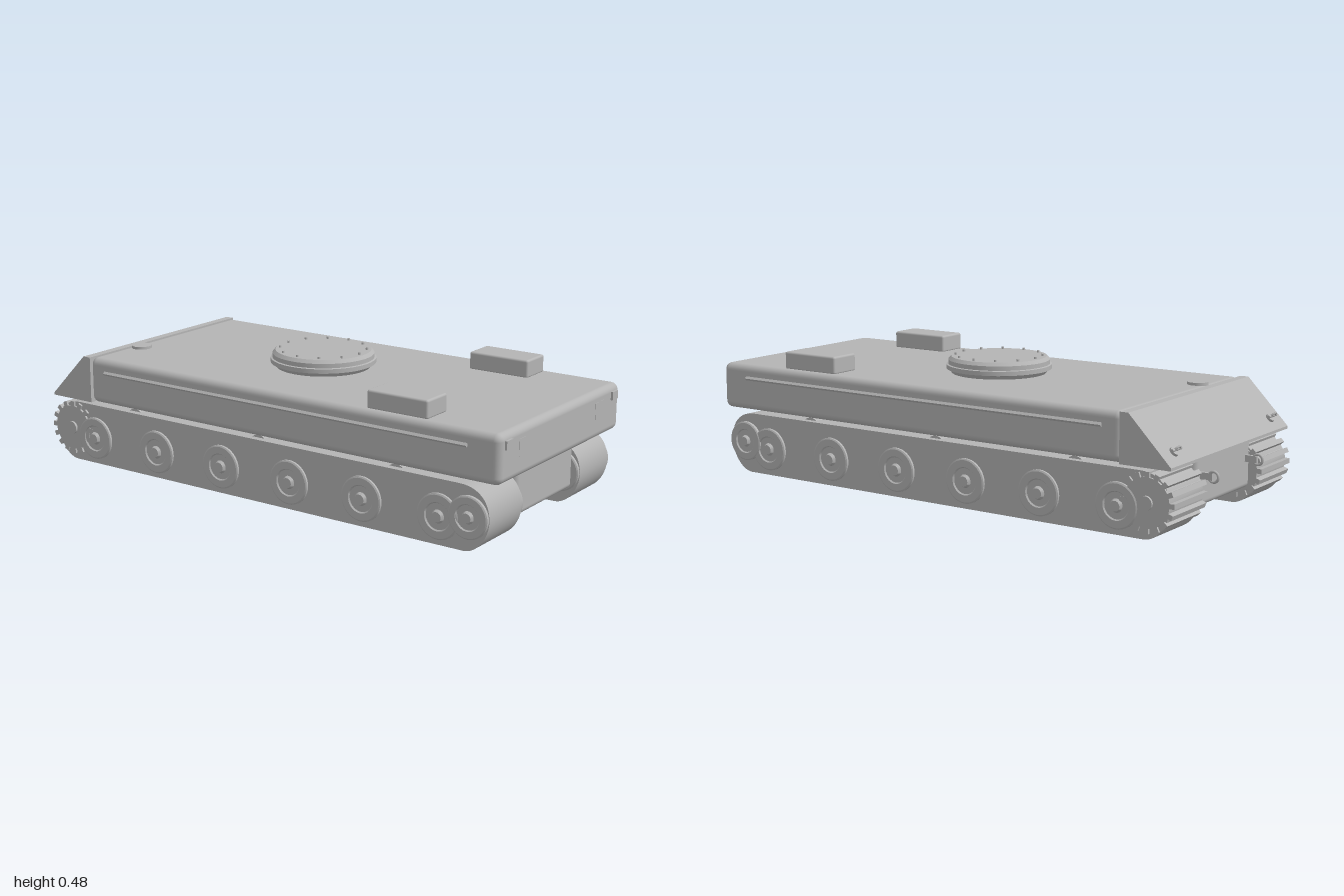
import * as THREE from 'three';
import { RoundedBoxGeometry } from 'three/addons/geometries/RoundedBoxGeometry.js';
import { toCreasedNormals } from 'three/addons/utils/BufferGeometryUtils.js';

export function createModel() {
  const model = new THREE.Group();
  const grey = new THREE.MeshStandardMaterial({ color: 0xb4b4b4 });
  grey.name = 'plain grey';

  const add = (name, geometry, x, y, z, parent = model) => {
    const mesh = new THREE.Mesh(geometry, grey);
    mesh.name = name;
    mesh.position.set(x, y, z);
    parent.add(mesh);
    return mesh;
  };
  const box = (w, h, d) => new THREE.BoxGeometry(w, h, d);
  const rounded = (w, h, d, r) => new RoundedBoxGeometry(w, h, d, 4, r);
  const cylinder = (r, h, n = 32) => new THREE.CylinderGeometry(r, r, h, n);
  // Side outline in (z, y), extruded across the width and centred on x
  const acrossX = (shape, width) => {
    const g = new THREE.ExtrudeGeometry(shape, { depth: width, bevelEnabled: false, curveSegments: 14 });
    g.translate(0, 0, -width / 2).rotateY(-Math.PI / 2);
    return toCreasedNormals(g, 0.5);
  };
  const lathe = (pairs, segments = 40) => toCreasedNormals(
    new THREE.LatheGeometry(pairs.map(([r, h]) => new THREE.Vector2(r, h)), segments), 0.5);

  // Hull
  add('upperHull', rounded(0.84, 0.172, 1.765, 0.026), 0, 0.326, 0.1075);
  add('lowerHull', rounded(0.4, 0.195, 1.86, 0.02), 0, 0.1625, 0);
  const tail = new THREE.Shape([[-0.77, 0.24], [-0.77, 0.413], [-0.802, 0.413], [-0.962, 0.25], [-0.962, 0.24]]
    .map(([z, y]) => new THREE.Vector2(z, y)));
  add('rearPlate', acrossX(tail, 0.85), 0, 0, 0);

  // Turret ring with bolts
  add('turretRing', lathe([[0, 0], [0.172, 0], [0.185, 0.016], [0.194, 0.018], [0.194, 0.034],
    [0.187, 0.036], [0.187, 0.052], [0.176, 0.064], [0, 0.064]], 56), 0, 0.41, 0);
  for (let i = 0; i < 12; i++) {
    const a = i * Math.PI / 6;
    add('turretBolt', cylinder(0.005, 0.012, 10), 0.16 * Math.sin(a), 0.476, 0.16 * Math.cos(a));
  }
  add('deckCap', cylinder(0.038, 0.012), -0.185, 0.416, -0.725);

  // Running gear outlines
  const track = new THREE.Shape();
  track.moveTo(-0.86, 0);
  track.lineTo(0.86, 0);
  track.bezierCurveTo(0.91, 0, 0.957, 0.06, 0.956, 0.12);
  track.bezierCurveTo(0.955, 0.18, 0.92, 0.228, 0.84, 0.228);
  track.lineTo(-0.84, 0.228);
  track.bezierCurveTo(-0.92, 0.228, -0.955, 0.18, -0.955, 0.12);
  track.bezierCurveTo(-0.955, 0.06, -0.91, 0, -0.86, 0);
  const trackGeometry = acrossX(track, 0.21);

  const teeth = 16, gear = [];
  for (let i = 0; i < teeth; i++) {
    [[-0.25, 0.085], [-0.22, 0.103], [0.22, 0.103], [0.25, 0.085]].forEach(([f, r]) => {
      const a = (i + f) * 2 * Math.PI / teeth;
      gear.push(new THREE.Vector2(r * Math.cos(a), r * Math.sin(a)));
    });
  }
  const gearGeometry = acrossX(new THREE.Shape(gear), 0.226);

  // Dished wheel, mirrored on both faces
  const half = [[0.08, 0.113], [0.075, 0.116], [0.05, 0.116], [0.046, 0.111], [0.024, 0.111], [0.018, 0.122], [0, 0.122]];
  const wheelProfile = [...half.map(([r, h]) => [r, -h]).reverse(), ...half];
  const wheelGeometry = lathe(wheelProfile).rotateZ(-Math.PI / 2);

  for (const s of [1, -1]) {
    const side = new THREE.Group();
    side.name = s > 0 ? 'leftSide' : 'rightSide';
    model.add(side);
    const put = (name, geometry, x, y, z) => add(name, geometry, s * x, y, z, side);

    // Track, road wheels, idler and drive sprocket
    put('track', trackGeometry, 0.31, 0, 0);
    for (let i = 0; i < 6; i++) put('roadWheel', wheelGeometry, 0.31, 0.1, 0.765 - i * 0.305);
    put('idlerWheel', wheelGeometry, 0.31, 0.12, 0.88).scale.set(1.02, 0.93, 0.93);
    put('driveSprocket', gearGeometry, 0.31, 0.125, -0.873);
    put('sprocketHub', cylinder(0.024, 0.244).rotateZ(Math.PI / 2), 0.31, 0.125, -0.873);
    for (const z of [0.58, 0, -0.58])
      put('returnRoller', cylinder(0.04, 0.16).rotateZ(Math.PI / 2), 0.31, 0.198, z);

    // Deck boxes, front plates and side rail
    put('deckBox', rounded(0.122, 0.066, 0.24, 0.008), 0.33, 0.442, 0.58);
    put('frontLamp', box(0.04, 0.03, 0.012), 0.37, 0.374, 0.992);
    put('frontPanel', box(0.06, 0.06, 0.004), 0.265, 0.343, 0.989);
    put('sideRail', box(0.011, 0.011, 1.57).rotateZ(Math.PI / 4), 0.423, 0.362, 0.085);

    // Shackles on the sloped rear plate
    const shackle = new THREE.Group();
    shackle.name = 'rearShackle';
    shackle.position.set(s * 0.348, 0.285, -0.927);
    shackle.rotation.x = -Math.PI / 4;
    side.add(shackle);
    add('shacklePad', cylinder(0.017, 0.012, 20), 0, 0.003, 0, shackle);
    add('shacklePin', cylinder(0.005, 0.06, 12).rotateZ(Math.PI / 2), 0, 0.016, 0, shackle);
    add('shackleRing', new THREE.TorusGeometry(0.014, 0.004, 8, 20), 0, 0.018, 0, shackle);

    // Towing eye low on the rear of the hull
    put('towMount', box(0.012, 0.024, 0.05), 0.163, 0.175, -0.95);
    put('towEye', new THREE.TorusGeometry(0.018, 0.005, 8, 20).rotateY(Math.PI / 2), 0.163, 0.175, -0.977);
  }
  return model;
}
